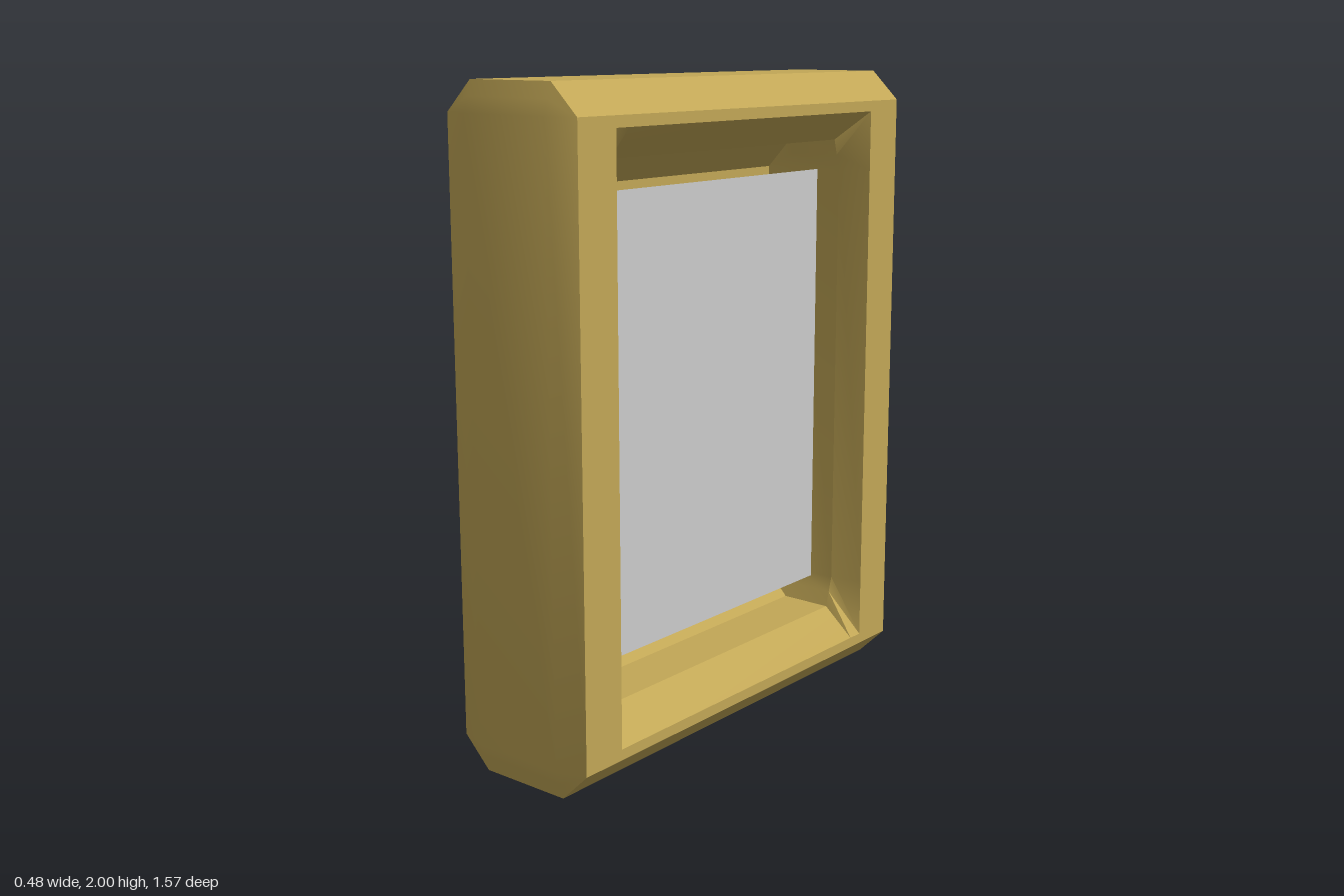
import * as THREE from 'three';
import { toCreasedNormals } from 'three/addons/utils/BufferGeometryUtils.js';

// Twelve-point ring across x; each corner is cut from (zIn, yFull) to (zFull, yIn).
// square = true keeps the corner point itself.
function ring(x, yFull, yIn, zFull, zIn, square = false) {
  const corner = square ? [yFull, zFull] : [(yFull + yIn) / 2, (zFull + zIn) / 2];
  const quarter = [[yFull, zIn], corner, [yIn, zFull]];
  const points = [];
  for (const [sy, sz] of [[1, 1], [-1, 1], [-1, -1], [1, -1]]) {
    const order = sy * sz > 0 ? quarter : [...quarter].reverse();
    for (const [y, z] of order) points.push(new THREE.Vector3(x, 1 + sy * y, sz * z));
  }
  return points;
}

// Skins consecutive rings, skipping collapsed triangles.
function loft(rings) {
  const pos = [];
  const tri = (a, b, c) => {
    const area = new THREE.Vector3().subVectors(b, a).cross(new THREE.Vector3().subVectors(c, a)).length();
    if (area > 1e-7) for (const p of [a, b, c]) pos.push(p.x, p.y, p.z);
  };
  for (let i = 0; i < rings.length - 1; i++) {
    const r = rings[i], s = rings[i + 1], n = r.length;
    for (let j = 0; j < n; j++) {
      const k = (j + 1) % n;
      tri(r[j], r[k], s[k]);
      tri(r[j], s[k], s[j]);
    }
  }
  const geometry = new THREE.BufferGeometry();
  geometry.setAttribute('position', new THREE.Float32BufferAttribute(pos, 3));
  return toCreasedNormals(geometry, 0.5);
}

export function createModel() {
  const model = new THREE.Group();

  // Bevelled casing: closed back, outer wall, front rim, then the hollow inside
  const casing = new THREE.Mesh(
    loft([
      ring(-0.242, 0, 0, 0, 0),
      ring(-0.242, 0.91, 0.91, 0.76, 0.76),
      ring(-0.15, 1, 0.91, 0.787, 0.76),
      ring(0.15, 1, 0.91, 0.787, 0.76),
      ring(0.242, 0.91, 0.91, 0.76, 0.76),
      ring(0.242, 0.877, 0.69, 0.61, 0.557, true),
      ring(0.14, 0.787, 0.69, 0.585, 0.557),
      ring(-0.03, 0.787, 0.69, 0.585, 0.557),
      ring(-0.12, 0.69, 0.69, 0.557, 0.557),
      ring(-0.12, 0, 0, 0, 0),
    ]),
    new THREE.MeshStandardMaterial({ color: 0xc2a756 })
  );
  casing.name = 'casing';
  model.add(casing);

  // Flat panel set inside the opening
  const panel = new THREE.Mesh(
    new THREE.PlaneGeometry(1.114, 1.38),
    new THREE.MeshStandardMaterial({ color: 0xcccccc, side: THREE.DoubleSide })
  );
  panel.rotation.y = Math.PI / 2;
  panel.position.set(0.075, 1, 0);
  panel.name = 'panel';
  model.add(panel);

  return model;
}
